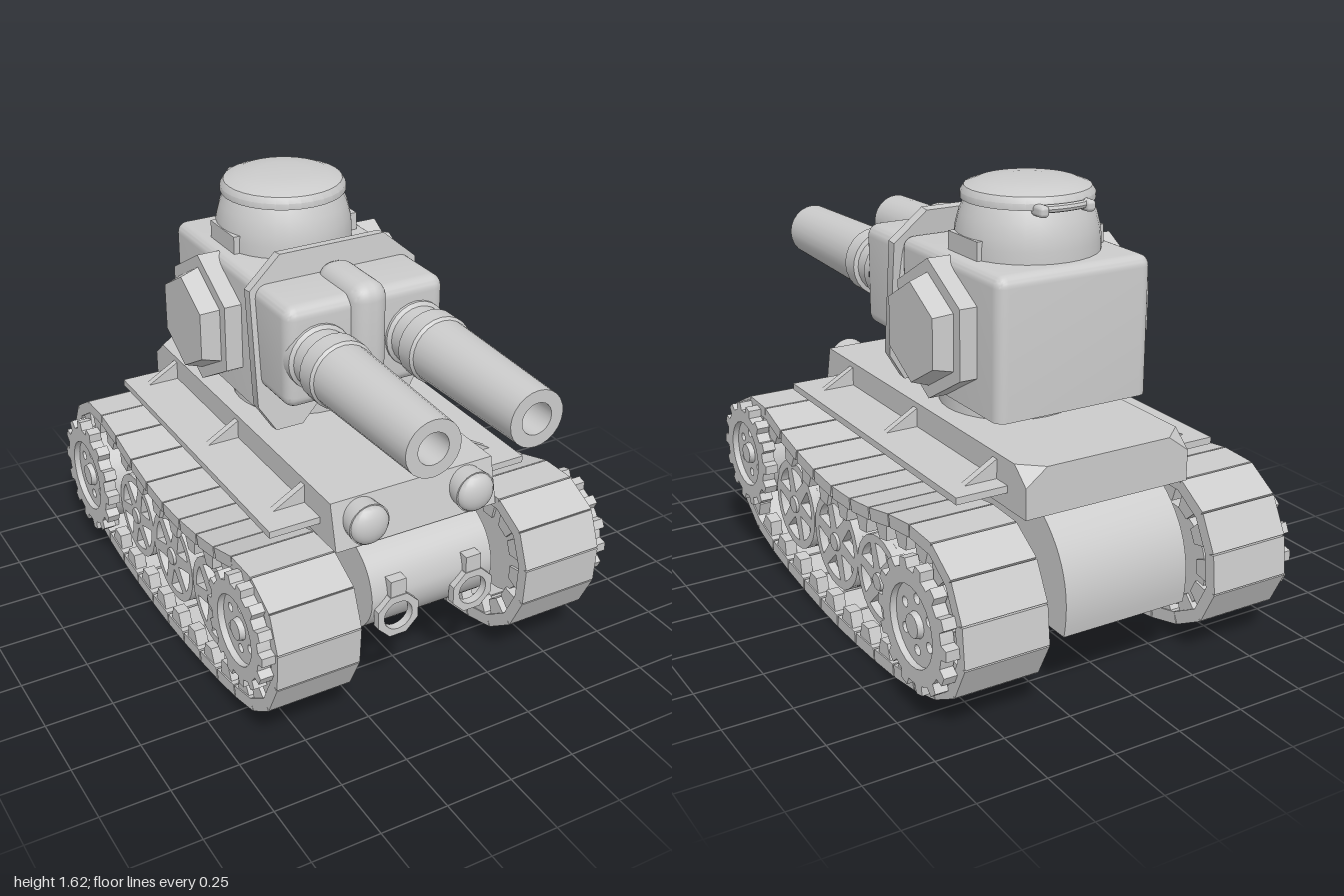
import * as THREE from 'three';
import { toCreasedNormals } from 'three/addons/utils/BufferGeometryUtils.js';
import { RoundedBoxGeometry } from 'three/addons/geometries/RoundedBoxGeometry.js';
import { ConvexGeometry } from 'three/addons/geometries/ConvexGeometry.js';

const grey = new THREE.MeshStandardMaterial({ color: 0xcccccc });

function add(parent, name, geo, x = 0, y = 0, z = 0, crease = 0.6) {
  const mesh = new THREE.Mesh(toCreasedNormals(geo, crease), grey);
  mesh.name = name;
  mesh.position.set(x, y, z);
  parent.add(mesh);
  return mesh;
}

const box = (w, h, d) => new THREE.BoxGeometry(w, h, d);
const poly = (pts) => new THREE.Shape(pts.map(([a, b]) => new THREE.Vector2(a, b)));

function circleHole(x, y, r) {
  return new THREE.Path().absarc(x, y, r, 0, Math.PI * 2, true);
}

function extrude(shape, depth) {
  return new THREE.ExtrudeGeometry(shape, { depth, bevelEnabled: false, curveSegments: 12 });
}

// Extrudes a (z, y) profile from x0 to x1, on the +x or -x side
function sideways(shape, x0, x1, s = 1) {
  return extrude(shape, x1 - x0).rotateY(-Math.PI / 2).translate(s > 0 ? x1 : -x0, 0, 0);
}

// Cylinder along x from x0 to x1 on one side
function axle(r0, r1, x0, x1, s, sides = 28) {
  return new THREE.CylinderGeometry(r1, r0, x1 - x0, sides).rotateY(Math.PI / 2)
    .rotateZ(-s * Math.PI / 2).translate(s * (x0 + x1) / 2, 0, 0);
}

// Cylinder along z
const tubeZ = (r0, r1, len, n = 24) => new THREE.CylinderGeometry(r1, r0, len, n).rotateX(Math.PI / 2);

const TRACK = [[.83, .46], [.797, .57], [.71, .636], [.62, .66], [.5, .652], [.35, .605], [.14, .565],
  [-.07, .547], [-.29, .565], [-.5, .61], [-.64, .63], [-.77, .63], [-.88, .58], [-.945, .5], [-1, .32],
  [-.95, .17], [-.82, .085], [-.61, .03], [-.4, .008], [-.07, 0], [.19, .018], [.46, .055], [.65, .107],
  [.775, .21], [.83, .36]];

// Belt of separate links with guide teeth along both edges
function buildTrack(g, s) {
  const curve = new THREE.CatmullRomCurve3(TRACK.map(([z, y]) => new THREE.Vector3(z, y, 0)), true);
  const n = 30, pts = curve.getSpacedPoints(n);
  for (let i = 0; i < n; i++) {
    const a = pts[i], d = pts[i + 1].clone().sub(a), len = d.length();
    d.normalize();
    const at = (u, v) => [a.x + d.x * u * len - d.y * v, a.y + d.y * u * len + d.x * v];
    add(g, 'trackLink', sideways(poly([at(.02, 0), at(.98, 0), at(.96, .045), at(.04, .045)]), .33, .64, s));
    const tooth = poly([at(.2, .04), at(.8, .04), at(.68, .1), at(.32, .1)]);
    add(g, 'trackTooth', sideways(tooth, .59, .635, s));
    add(g, 'trackTooth', sideways(tooth, .335, .38, s));
  }
}

// Solid drum with a six-spoked face
function roadWheel(g, s, z, y, r) {
  const face = new THREE.Shape().absarc(0, 0, r, 0, Math.PI * 2);
  for (let i = 0; i < 6; i++) {
    const a = i * Math.PI / 3 + .25, hole = new THREE.Path();
    const p = (rad, t) => [rad * Math.cos(a + t), rad * Math.sin(a + t)];
    hole.moveTo(...p(r * .32, .4));
    hole.lineTo(...p(r * .82, .1));
    hole.absarc(0, 0, r * .82, a + .1, a + .85, false);
    hole.lineTo(...p(r * .32, .45));
    face.holes.push(hole);
  }
  add(g, 'roadWheelFace', sideways(face, .585, .62, s), 0, y, z);
  add(g, 'roadWheelDrum', axle(r, r, .345, .59, s), 0, y, z);
  add(g, 'roadWheelHub', axle(r * .22, r * .18, .6, .63, s, 12), 0, y, z);
}

// Toothed end wheel with a bolt-holed plate
function sprocket(g, s, z, y, r) {
  const cog = new THREE.Shape(), n = 14;
  for (let i = 0; i < n; i++) {
    [[-.5, .86], [-.28, .86], [-.18, 1], [.18, 1], [.28, .86]].forEach(([t, k], j) => {
      const a = (i + t) / n * Math.PI * 2;
      cog[i + j ? 'lineTo' : 'moveTo'](r * k * Math.cos(a), r * k * Math.sin(a));
    });
  }
  cog.holes.push(circleHole(0, 0, r * .62));
  const plate = new THREE.Shape().absarc(0, 0, r * .64, 0, Math.PI * 2);
  for (let i = 0; i < 6; i++) {
    const a = i * Math.PI / 3 + Math.PI / 6;
    plate.holes.push(circleHole(r * .4 * Math.cos(a), r * .4 * Math.sin(a), r * .08));
  }
  add(g, 'sprocketTeeth', sideways(cog, .64, .688, s), 0, y, z);
  add(g, 'sprocketPlate', sideways(plate, .62, .665, s), 0, y, z);
  add(g, 'sprocketHub', axle(r * .22, r * .18, .65, .685, s, 12), 0, y, z);
  add(g, 'sprocketDrum', axle(r * .82, r * .82, .345, .64, s), 0, y, z);
}

function buildHull(g) {
  // Lower hull with curved nose and tail
  const low = new THREE.Shape();
  low.moveTo(.57, .255);
  low.quadraticCurveTo(.75, .36, .745, .48);
  low.quadraticCurveTo(.73, .6, .62, .64);
  low.lineTo(-.8, .64);
  low.quadraticCurveTo(-.99, .5, -.94, .255);
  add(g, 'lowerHull', sideways(low, -.24, .24));

  // Upper hull with cut rear corners and a raked front
  const corners = [];
  for (const s of [-1, 1]) {
    for (const [x, y, z] of [[.32, .64, .64], [.32, .81, .6], [.32, .64, -.83], [.32, .75, -.83],
      [.32, .81, -.76], [.24, .81, -.83]]) corners.push(new THREE.Vector3(s * x, y, z));
  }
  add(g, 'upperHull', new ConvexGeometry(corners), 0, 0, 0, .1);

  for (const s of [-1, 1]) {
    // Side shelf with triangular brackets
    add(g, 'fender', box(.2, .025, 1.25), s * .41, .708, -.095);
    for (const z of [.41, -.1, -.64]) {
      const tri = poly(s > 0 ? [[.31, .715], [.45, .715], [.31, .795]] : [[-.31, .795], [-.45, .715], [-.31, .715]]);
      add(g, 'fenderBracket', extrude(tri, .026), 0, 0, z - .013);
    }
    add(g, 'headlightCase', tubeZ(.07, .077, .07), s * .21, .735, .635);
    add(g, 'headlightLens', new THREE.SphereGeometry(.073, 20, 12).scale(1, 1, .55), s * .21, .735, .667, 3);
    // Tow shackle
    const ring = poly([...Array(8)].map((_, i) => {
      const a = (i + .5) * Math.PI / 4;
      return [.085 * Math.cos(a), .085 * Math.sin(a)];
    }));
    ring.holes.push(circleHole(0, 0, .055));
    add(g, 'towShackle', extrude(ring, .03), s * .15, .41, .738);
    add(g, 'towBracket', box(.06, .09, .06), s * .15, .505, .735);
  }
}

function buildTurret(g) {
  add(g, 'turretRing', new THREE.CylinderGeometry(.25, .25, .1, 32), 0, .85, -.21);
  // Rounded body with a flat underside
  const body = new RoundedBoxGeometry(.6, .53, .66, 4, .04);
  const p = body.attributes.position;
  for (let i = 0; i < p.count; i++) p.setY(i, Math.max(p.getY(i), -.225));
  add(g, 'turretBody', body, 0, 1.115, -.297);

  // Tilted front shield
  const half = [[.10, .893], [.16, .833], [.266, .833], [.33, .935], [.33, 1.36], [.206, 1.468]];
  const outline = [...half, ...half.map(([x, y]) => [-x, y]).reverse()].map(([x, y]) => [x, y - 1.15]);
  add(g, 'frontShield', extrude(poly(outline), .04).translate(0, 0, -.02).rotateX(-.115), 0, 1.15, .062);

  add(g, 'mantlet', new RoundedBoxGeometry(.62, .375, .28, 4, .045), 0, 1.188, .15);
  add(g, 'mantletStrap', new RoundedBoxGeometry(.14, .46, .3, 4, .06), 0, 1.185, .18);

  // Twin hollow barrels with collars
  const barrel = [[.12, .26], [.12, .3], [.107, .31], [.107, .375], [.123, .38], [.123, .45], [.114, .46],
    [.1, 1], [.056, 1], [.056, .75], [0, .75]].map(([r, z]) => new THREE.Vector2(r, z));
  for (const s of [-1, 1]) {
    add(g, 'gunBarrel', new THREE.LatheGeometry(barrel, 24).rotateX(Math.PI / 2), s * .19, 1.185, 0);
    // Hexagonal side armour
    add(g, 'sideArmourPlate', axle(.245, .245, .28, .365, s, 6), 0, 1.134, -.283);
    add(g, 'sideArmourCap', axle(.2, .175, .36, .432, s, 6), 0, 1.134, -.283);
  }

  // Commander's cupola, domed hatch and hinge
  const cup = [[.25, 1.36], [.25, 1.42], [.245, 1.46], [.232, 1.51], [.213, 1.55], [.228, 1.553],
    [.228, 1.575], [.215, 1.595], [.17, 1.612], [.09, 1.62], [0, 1.622]].map(([r, y]) => new THREE.Vector2(r, y));
  add(g, 'cupola', new THREE.LatheGeometry(cup, 32), 0, 0, -.32);
  add(g, 'cupolaSideBlock', box(.5, .07, .19), 0, 1.41, -.315);
  const hinge = new THREE.QuadraticBezierCurve3(new THREE.Vector3(-.09, 1.56, -.54),
    new THREE.Vector3(0, 1.56, -.57), new THREE.Vector3(.09, 1.56, -.54));
  add(g, 'hatchHinge', new THREE.TubeGeometry(hinge, 10, .014, 8));
  for (const s of [-1, 1]) {
    add(g, 'hingeEnd', new RoundedBoxGeometry(.035, .04, .07, 2, .014), s * .09, 1.555, -.535);
  }
}

export function createModel() {
  const model = new THREE.Group();
  model.name = 'tank';
  const section = (name) => {
    const g = new THREE.Group();
    g.name = name;
    model.add(g);
    return g;
  };
  buildHull(section('hull'));
  buildTurret(section('turret'));
  for (const s of [1, -1]) {
    const g = section(s > 0 ? 'leftTrack' : 'rightTrack');
    buildTrack(g, s);
    for (const [z, y, r] of [[.3, .33, .17], [-.05, .32, .175], [-.385, .31, .165]]) roadWheel(g, s, z, y, r);
    sprocket(g, s, .61, .44, .203);
    sprocket(g, s, -.737, .325, .228);
  }
  return model;
}
